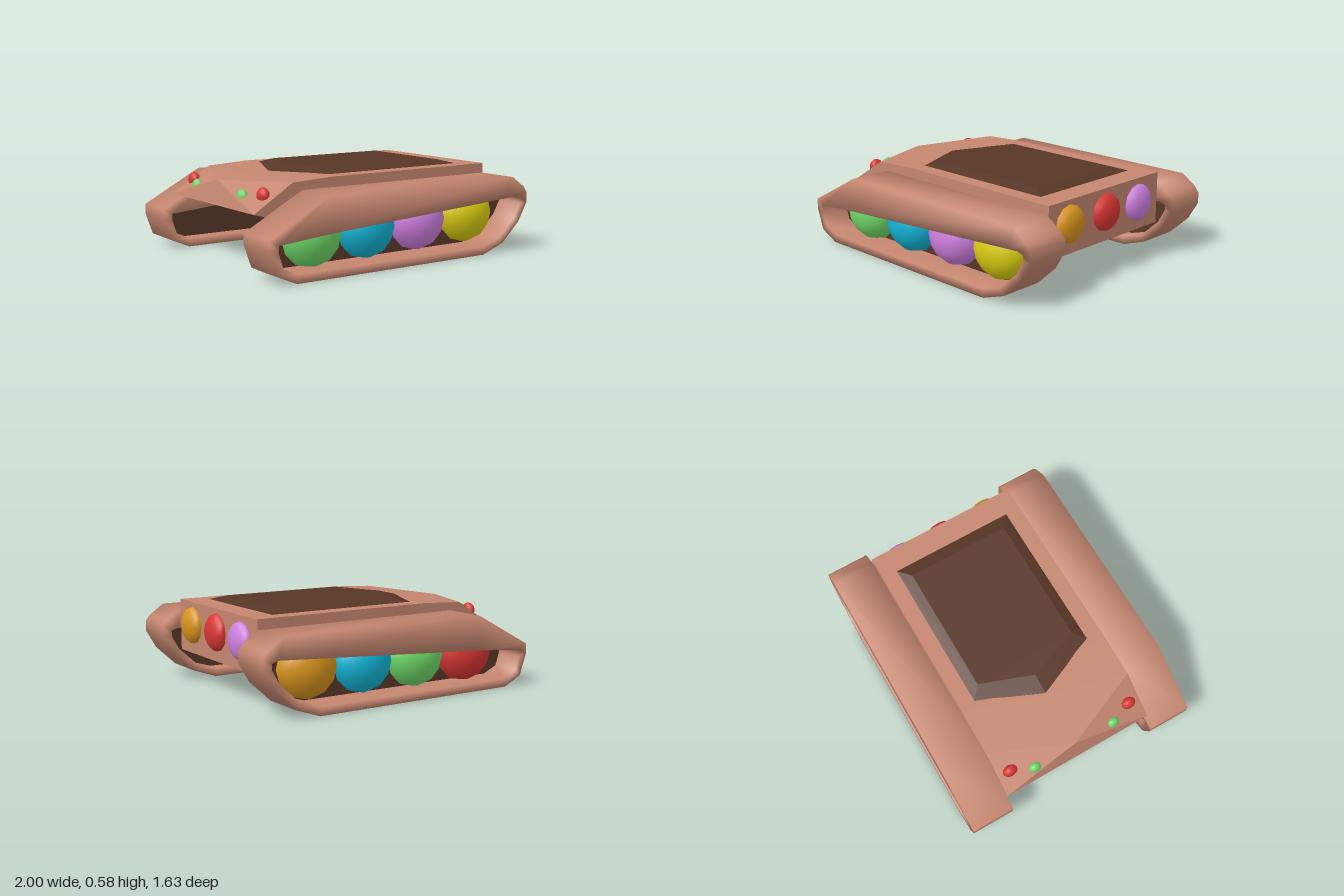
import * as THREE from 'three';
import { ConvexGeometry } from 'three/addons/geometries/ConvexGeometry.js';

const COLORS = {
  clay: 0xc4866f, dark: 0x573626, green: 0x6fd868, cyan: 0x12b5d6,
  violet: 0xcf7fe0, yellow: 0xd8cc10, orange: 0xd8941c, red: 0xd83632,
};

function addMesh(parent, name, geometry, color, doubleSided = false) {
  const material = new THREE.MeshStandardMaterial({ color: COLORS[color] });
  if (doubleSided) material.side = THREE.DoubleSide;
  const mesh = new THREE.Mesh(geometry, material);
  mesh.name = name;
  parent.add(mesh);
  return mesh;
}

// Matching clockwise outlines of the track: outer tread and inner opening
const TREAD = [[-1, 0.27], [-0.59, 0.49], [0.87, 0.49], [0.97, 0.42], [1, 0.38], [1, 0.31],
  [0.93, 0.19], [0.79, 0.06], [0.62, 0], [-0.82, 0], [-0.95, 0.06], [-1, 0.2]];
const OPENING = [[-0.94, 0.235], [-0.59, 0.265], [0.82, 0.355], [0.9, 0.36], [0.94, 0.345], [0.94, 0.31],
  [0.89, 0.22], [0.76, 0.1], [0.61, 0.055], [-0.81, 0.055], [-0.91, 0.1], [-0.94, 0.19]];

// Skin a series of [outline, z] loops with smooth shared normals
function loft(loops) {
  const n = loops[0][0].length;
  const positions = loops.flatMap(([outline, z]) => outline.flatMap(([x, y]) => [x, y, z]));
  const index = [];
  for (let k = 0; k < loops.length - 1; k++) {
    for (let i = 0; i < n; i++) {
      const a = k * n + i, b = k * n + (i + 1) % n;
      index.push(a, a + n, b, b, a + n, b + n);
    }
  }
  const geometry = new THREE.BufferGeometry();
  geometry.setAttribute('position', new THREE.Float32BufferAttribute(positions, 3));
  geometry.setIndex(index);
  geometry.computeVertexNormals();
  return geometry;
}

// One track on the +z (side 1) or -z (side -1) flank, with its wheels
function makeTrack(side, wheelColors) {
  const track = new THREE.Group();
  track.name = side > 0 ? 'frontTrack' : 'backTrack';
  const web = side * 0.62;
  const [z0, z1] = side > 0 ? [0.525, 0.815] : [-0.815, -0.525];
  addMesh(track, 'tread', loft([[OPENING, web], [OPENING, z0], [TREAD, z0],
    [TREAD, z1], [OPENING, z1], [OPENING, web]]), 'clay');

  const shape = new THREE.Shape(OPENING.map(([x, y]) => new THREE.Vector2(x, y)));
  addMesh(track, 'trackPanel', new THREE.ShapeGeometry(shape), 'dark', true).position.z = web;

  // Domed wheels facing outward
  wheelColors.forEach((color, i) => {
    const dome = new THREE.SphereGeometry(1, 12, 6, 0, Math.PI * 2, 0, Math.PI / 2);
    dome.rotateX(side * Math.PI / 2);
    const wheel = addMesh(track, 'wheel', dome, color);
    wheel.scale.set(0.2, 0.2, 0.17);
    wheel.position.set(-0.605 + i * 0.403, 0.235 + i * 0.009, web);
  });
  return track;
}

// Convex solid from points given for z >= 0, mirrored to the other side
function mirroredHull(points) {
  return new ConvexGeometry(points.flatMap(([x, y, z]) => z === 0
    ? [new THREE.Vector3(x, y, 0)]
    : [new THREE.Vector3(x, y, z), new THREE.Vector3(x, y, -z)]));
}

export function createModel() {
  const model = new THREE.Group();
  model.name = 'trackedVehicle';

  // Hull with a peaked nose at -x
  const w = 0.525;
  addMesh(model, 'hull', mirroredHull([
    [0.87, 0.215, w], [0.87, 0.555, w], [-0.37, 0.555, w], [-0.66, 0.54, w],
    [-0.93, 0.37, w], [-0.35, 0.215, w], [-0.88, 0.52, 0],
  ]), 'clay');

  // Bevelled pentagonal deck plate
  addMesh(model, 'deckPlate', mirroredHull([
    [-0.51, 0.54, 0], [-0.33, 0.54, 0.42], [0.71, 0.54, 0.42],
    [-0.51, 0.55, 0], [-0.33, 0.555, 0.42], [0.71, 0.555, 0.42],
    [-0.38, 0.58, 0], [-0.25, 0.58, 0.35], [0.62, 0.58, 0.35],
  ]), 'dark');

  // Tracks
  model.add(makeTrack(1, ['green', 'cyan', 'violet', 'yellow']));
  model.add(makeTrack(-1, ['red', 'green', 'cyan', 'orange']));

  // Large round lamps on the +x end
  [['orange', 0.403, 0.34], ['red', 0.403, 0], ['violet', 0.395, -0.32]].forEach(([color, y, z]) => {
    const lamp = addMesh(model, 'endLamp', new THREE.SphereGeometry(1, 12, 8).rotateZ(-Math.PI / 2), color);
    lamp.scale.set(0.065, 0.122, 0.122);
    lamp.position.set(0.87, y, z);
  });

  // Small lamps on the nose facets
  for (const side of [1, -1]) {
    [['red', -0.815, 0.465, 0.44], ['green', -0.87, 0.445, 0.29]].forEach(([color, x, y, z], i) => {
      const lamp = addMesh(model, 'noseLamp', new THREE.SphereGeometry(1, 12, 8), color);
      const size = i === 0 ? 1 : 0.9;
      lamp.scale.set(0.036 * size, 0.05 * size, 0.05 * size);
      lamp.position.set(x, y, z * side);
    });
  }
  return model;
}
